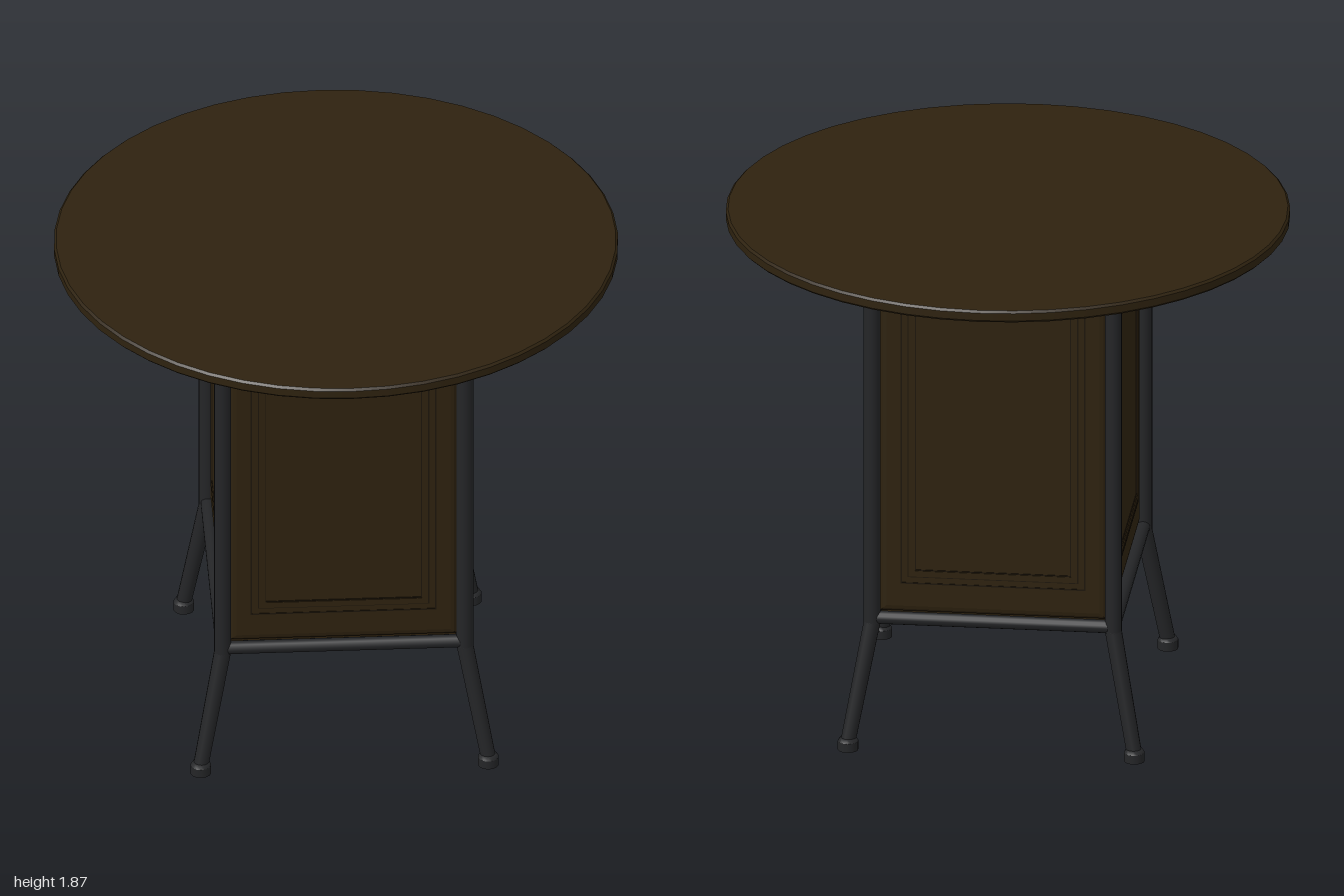
import * as THREE from 'three';

const wood = new THREE.MeshStandardMaterial({ color: 0x2e220f });
wood.name = 'dark wood';
const metal = new THREE.MeshStandardMaterial({ color: 0x242527 });
metal.name = 'dark metal';
const groove = new THREE.MeshStandardMaterial({ color: 0x1d150a });
groove.name = 'groove brown';

const PX = 0.43, PZ = 0.49;            // post centres
const BOTTOM = 0.487, TOP = 1.83;      // frame heights

function part(parent, name, geometry, material, x = 0, y = 0, z = 0) {
  const mesh = new THREE.Mesh(geometry, material);
  mesh.name = name;
  mesh.position.set(x, y, z);
  parent.add(mesh);
  return mesh;
}

// Round bar between two points
function bar(parent, name, a, b, r0, r1 = r0) {
  const from = new THREE.Vector3(...a), to = new THREE.Vector3(...b);
  const dir = to.clone().sub(from);
  const mesh = part(parent, name, new THREE.CylinderGeometry(r1, r0, dir.length(), 14), metal);
  mesh.position.copy(from).add(to).multiplyScalar(0.5);
  mesh.quaternion.setFromUnitVectors(new THREE.Vector3(0, 1, 0), dir.normalize());
}

function rect(shape, w, y0, y1) {
  shape.moveTo(-w, y0);
  shape.lineTo(w, y0);
  shape.lineTo(w, y1);
  shape.lineTo(-w, y1);
  shape.closePath();
  return shape;
}

// Thin rectangular border
function border(w, y0, y1, t, depth) {
  const shape = rect(new THREE.Shape(), w, y0, y1);
  shape.holes.push(rect(new THREE.Path(), w - t, y0 + t, y1 - t));
  return new THREE.ExtrudeGeometry(shape, { depth, bevelEnabled: false });
}

// Cushioned side panel with its moulding, facing +z
function sidePanel(name, half, distance, inset) {
  const g = new THREE.Group();
  g.name = name;
  const b = 0.025;
  const slab = new THREE.ExtrudeGeometry(rect(new THREE.Shape(), half - b, 0.505 + b, 1.8 - b), {
    depth: 0.02, bevelThickness: 0.022, bevelSize: b, bevelSegments: 3,
  });
  part(g, 'panel', slab, wood, 0, 0, distance - 0.042);
  part(g, 'outerMoulding', border(inset + 0.03, 0.615, 1.73, 0.005, 0.002), groove, 0, 0, distance);
  part(g, 'moulding', border(inset, 0.645, 1.70, 0.022, 0.006), wood, 0, 0, distance);
  part(g, 'outerGroove', border(inset + 0.004, 0.641, 1.704, 0.005, 0.003), groove, 0, 0, distance);
  part(g, 'innerGroove', border(inset - 0.02, 0.665, 1.68, 0.005, 0.003), groove, 0, 0, distance);
  part(g, 'headerRail', new THREE.BoxGeometry(half * 2, 0.045, 0.03), metal, 0, 1.806, distance - 0.014);
  return g;
}

export function createModel() {
  const model = new THREE.Group();
  model.name = 'roundTable';

  // Round top with softened rim
  const rim = [[0, 1.83], [0.992, 1.83], [0.992, 1.83], [1, 1.838], [1, 1.838],
    [1, 1.866], [1, 1.866], [0.992, 1.874], [0.992, 1.874], [0, 1.874]];
  part(model, 'tableTop', new THREE.LatheGeometry(rim.map(([x, y]) => new THREE.Vector2(x, y)), 48), wood);

  // Cabinet core, closed underneath
  part(model, 'cabinet', new THREE.BoxGeometry(0.8, 1.34, 0.92), wood, 0, 1.152, 0);
  part(model, 'mountingPlate', new THREE.BoxGeometry(0.94, 0.012, 1.16), metal, 0, 1.825, 0);

  // Four side panels
  for (let i = 0; i < 4; i++) {
    const side = i % 2 === 1;
    const panel = sidePanel(['front', 'left', 'back', 'right'][i] + 'Panel',
      side ? 0.465 : 0.405, side ? 0.42 : 0.48, side ? 0.355 : 0.30);
    panel.rotation.y = i * Math.PI / 2;
    model.add(panel);
  }

  // Posts, splayed legs and feet
  for (const sx of [-1, 1]) for (const sz of [-1, 1]) {
    const leg = new THREE.Group();
    leg.name = (sz > 0 ? 'front' : 'back') + (sx > 0 ? 'Left' : 'Right') + 'Leg';
    model.add(leg);
    const x = sx * PX, z = sz * PZ, fx = sx * 0.51, fz = sz * 0.543;
    bar(leg, 'post', [x, 0.47, z], [x, TOP, z], 0.03);
    part(leg, 'bend', new THREE.SphereGeometry(0.03, 14, 10), metal, x, 0.47, z);
    bar(leg, 'splayedLeg', [fx, 0.03, fz], [x, 0.47, z], 0.027, 0.03);
    const foot = [[0, 0], [0.037, 0], [0.037, 0], [0.037, 0.033], [0.037, 0.033], [0.029, 0.046], [0, 0.046]];
    part(leg, 'foot', new THREE.LatheGeometry(foot.map(([r, y]) => new THREE.Vector2(r, y)), 14), metal, fx, 0, fz);
  }

  // Bottom rails
  for (const s of [-1, 1]) {
    bar(model, 'bottomRail', [-PX, BOTTOM, s * PZ], [PX, BOTTOM, s * PZ], 0.024);
    bar(model, 'bottomSideRail', [s * PX, BOTTOM, -PZ], [s * PX, BOTTOM, PZ], 0.024);
  }

  // Support bars under the top, with chamfered ends
  const profile = new THREE.Shape([[-0.53, 1.79], [0.53, 1.79], [0.56, 1.805], [0.56, 1.826], [-0.56, 1.826], [-0.56, 1.805]]
    .map(([z, y]) => new THREE.Vector2(z, y)));
  const support = new THREE.ExtrudeGeometry(profile, {
    depth: 0.11, bevelThickness: 0.01, bevelSize: 0.006, bevelSegments: 2,
  });
  support.translate(0, 0, -0.055);
  support.rotateY(Math.PI / 2);
  for (const s of [-1, 1]) part(model, 'supportBar', support, metal, s * 0.552, 0, 0);

  return model;
}
